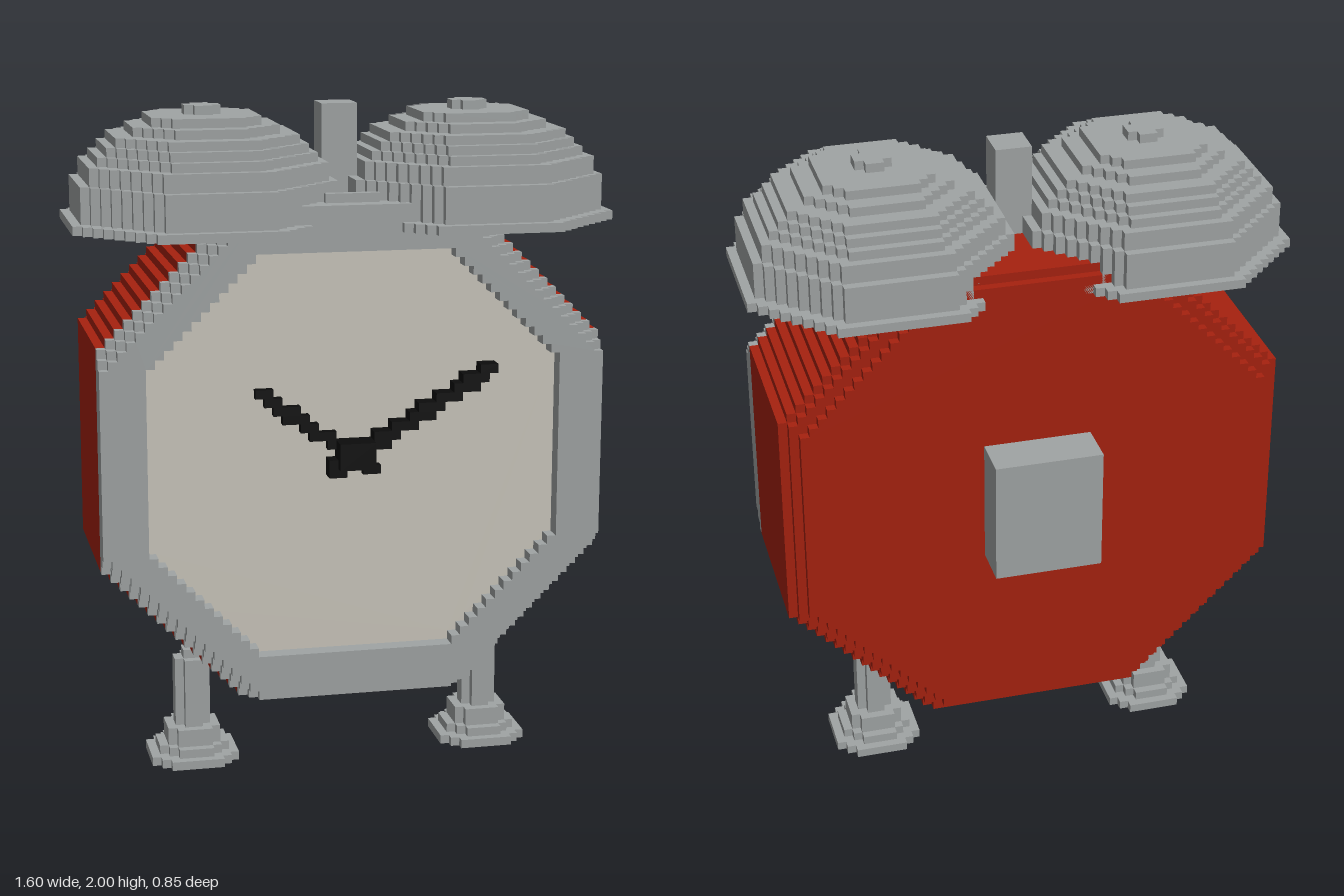
import * as THREE from 'three';
import { mergeGeometries } from 'three/addons/utils/BufferGeometryUtils.js';

// All sizes are in cells; the whole clock is 75 cells tall.
const CELL = 2 / 75;
const MID_Y = 37.5;

function material(name, color) {
  const m = new THREE.MeshStandardMaterial({ color });
  m.name = name;
  return m;
}

// Corner points of a stair-stepped octagon. Rows are centred on whole numbers
// when odd, otherwise on halves; sum limits the diagonal sides.
function octagonPoints(r, odd = false, sum = r * Math.SQRT2) {
  const right = [], left = [];
  const first = odd ? -Math.floor(r) : 0.5 - Math.floor(r + 0.5);
  let last = 0;
  for (let t = first; t <= r + 0.001; t++) {
    const w = Math.floor(Math.min(r, sum - Math.abs(t)) + 0.5);
    if (w !== last) {
      if (last) {
        right.push(new THREE.Vector2(last, t - 0.5));
        left.push(new THREE.Vector2(-last, t - 0.5));
      }
      right.push(new THREE.Vector2(w, t - 0.5));
      left.push(new THREE.Vector2(-w, t - 0.5));
      last = w;
    }
  }
  const end = -first + 0.5;
  right.push(new THREE.Vector2(last, end));
  left.push(new THREE.Vector2(-last, end));
  return right.concat(left.reverse());
}

// Slab of a stepped outline from z0 to z1, with an optional hole
function slab(points, z0, z1, hole) {
  const shape = new THREE.Shape(points);
  if (hole) shape.holes.push(new THREE.Path(hole));
  return new THREE.ExtrudeGeometry(shape, { depth: z1 - z0, bevelEnabled: false }).translate(0, 0, z0);
}

// Upright stack of octagonal layers, each given as [radius, height]
function stack(layers) {
  let y = 0;
  return mergeGeometries(layers.map(([r, h]) => {
    const g = slab(octagonPoints(r), y, y + h).rotateX(-Math.PI / 2);
    y += h;
    return g;
  }));
}

function box(x0, x1, y0, y1, z0, z1) {
  return new THREE.BoxGeometry(x1 - x0, y1 - y0, z1 - z0)
    .translate((x0 + x1) / 2, (y0 + y1) / 2, (z0 + z1) / 2);
}

// Clock hand: row runs of the cells lying close to the line from tail to tip
function hand(tail, tip, z0, z1) {
  const a = new THREE.Vector3(...tail, 0), b = new THREE.Vector3(...tip, 0);
  const line = new THREE.Line3(a, b), p = new THREE.Vector3(), q = new THREE.Vector3();
  const boxes = [];
  for (let y = 33; y < 50; y++) {
    let start = null;
    for (let x = -20; x <= 20; x++) {
      p.set(x + 0.5, y + 0.5, 0);
      line.closestPointToPoint(p, true, q);
      const inside = p.distanceTo(q) < 0.75;
      if (inside && start === null) start = x;
      if (!inside && start !== null) {
        boxes.push(box(start, x, y, y + 1, z0, z1));
        start = null;
      }
    }
  }
  return mergeGeometries(boxes);
}

export function createModel() {
  const red = material('red paint', 0xa6210f);
  const metal = material('grey metal', 0xa0a4a4);
  const cream = material('cream dial', 0xcac6bc);
  const black = material('black hands', 0x0c0c0c);

  const model = new THREE.Group();
  model.name = 'alarmClock';
  const add = (name, geometry, mat, x = 0, y = 0, z = 0) => {
    const mesh = new THREE.Mesh(geometry, mat);
    mesh.name = name;
    mesh.position.set(x, y, z);
    model.add(mesh);
  };

  // Case with a stepped rear edge
  add('case', mergeGeometries([
    slab(octagonPoints(27.9, true, 39.6), -9, 9),
    slab(octagonPoints(27.3, true), -10, -9),
    slab(octagonPoints(26.2, true), -11, -10),
  ]), red, 0, MID_Y);

  // Bezel, its diagonals stepping in towards the front, and the sunken dial
  const opening = octagonPoints(22.9, true, 32.6);
  add('bezel', mergeGeometries([39.6, 38.6, 37.6].map((sum, i) =>
    slab(octagonPoints(27.9, true, sum), 9 + i, 10 + i, opening))), metal, 0, MID_Y);
  add('dial', slab(opening, 9, 10), cream, 0, MID_Y);

  // Hands and hub
  add('hourHand', hand([2, 35.6], [-10.6, 44.6], 10, 11), black);
  add('minuteHand', hand([-2.4, 35.8], [15.6, 46.5], 10, 12), black);
  add('hub', box(-2, 2, 36, 39, 10, 13), black);

  // Winding knob, hammer and its bracket
  add('windingKnob', box(-6, 6, 31, 45, -16, -11), metal);
  add('hammer', box(-2, 2, 65, 75, -1, 3), metal);
  add('hammerBracket', box(-3, 3, 65, 66, 9, 10), metal);

  // Paired bells and legs
  const bell = stack([[15, 1], [14, 4], [13, 2], [12, 1], [11, 1], [10, 1], [8.4, 1], [6.4, 1], [2, 1]]);
  const leg = mergeGeometries([
    stack([[5, 1], [4, 1], [3, 2], [2, 8]]),
    box(-1, 1, 12, 13, -1, 1).toNonIndexed(),
  ]);
  for (const [side, s] of [['left', 1], ['right', -1]]) {
    add(side + 'Bell', bell, metal, 15 * s, 62, 1);
    add(side + 'Leg', leg, metal, 17 * s, 0, 1);
  }

  model.scale.setScalar(CELL);
  return model;
}
